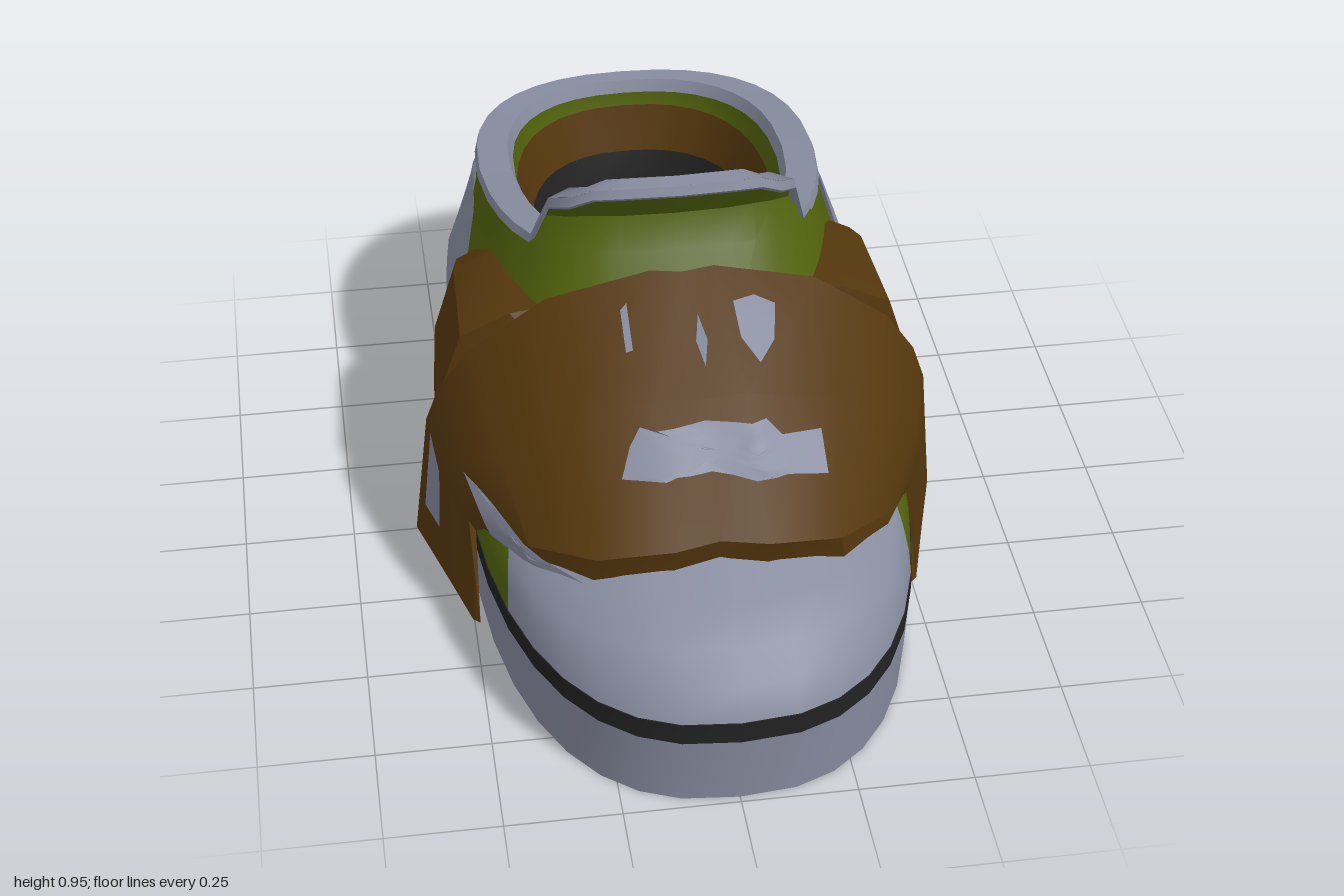
import * as THREE from 'three';
import { toCreasedNormals } from 'three/addons/utils/BufferGeometryUtils.js';

const mat = (name, color) => {
  const m = new THREE.MeshStandardMaterial({ color, side: THREE.DoubleSide });
  m.name = name;
  return m;
};
const V = (x, y, z) => new THREE.Vector3(x, y, z);
const { lerp, smoothstep: step } = THREE.MathUtils;
const N = 36; // columns around the shoe

// Skin between rows of points; pick(i, j) chooses the material of each quad.
function loft(name, rows, mats, closed, pick = () => 0) {
  const n = rows[0].length, cols = closed ? n : n - 1;
  const lists = mats.map(() => []);
  for (let i = 0; i < rows.length - 1; i++) {
    for (let j = 0; j < cols; j++) {
      const k = (j + 1) % n;
      const a = i * n + j, b = i * n + k, c = a - j + n + k, d = a + n;
      lists[pick(i, j)].push(a, b, c, a, c, d);
    }
  }
  const g = new THREE.BufferGeometry().setFromPoints(rows.flat());
  g.setIndex(lists.flat());
  let start = 0;
  lists.forEach((l, i) => { g.addGroup(start, l.length, i); start += l.length; });
  const mesh = new THREE.Mesh(toCreasedNormals(g, 0.65), mats.length > 1 ? mats : mats[0]);
  mesh.name = name;
  return mesh;
}

// Thin plate: an outline in (u, y) projected along a horizontal axis onto a mesh.
function decal(name, outline, place, dir, target, material, lift, bulge = 0) {
  const ray = new THREE.Raycaster();
  const cu = outline.reduce((s, p) => s + p[0], 0) / outline.length;
  const cy = outline.reduce((s, p) => s + p[1], 0) / outline.length;
  const dense = outline.flatMap(([u, y], i) => {
    const [u2, y2] = outline[(i + 1) % outline.length];
    return [0, 0.25, 0.5, 0.75].map((k) => [lerp(u, u2, k), lerp(y, y2, k)]);
  });
  let far = 1;
  const project = (u, y, rise) => {
    const o = place(u, y);
    ray.set(o, dir);
    const hit = ray.intersectObject(target)[0];
    if (hit) far = hit.distance;
    return o.addScaledVector(dir, far - rise);
  };
  const rows = [1, 0.8, 0.6, 0.4, 0.2, 0.001].map((k) => dense.map(([u, y]) =>
    project(cu + (u - cu) * k, cy + (y - cy) * k, lift + bulge * (1 - k))));
  return loft(name, rows, [material], true);
}

const around = (f) => Array.from({ length: N }, (_, j) => f((j / N) * Math.PI * 2));
const pw = (v, e) => Math.sign(v) * Math.abs(v) ** e;

// Footprint outline
const foot = (t, y, s = 1) => V(0.495 * s * pw(Math.sin(t), 0.79), y, s * pw(Math.cos(t), 0.79));
// Collar outline, tapering forward and raised into a forward-curling tongue in front.
const collar = (t, sx = 1, sz = 1, drop = 0, lift = 1) => {
  const c = Math.cos(t), front = Math.max(0, c);
  const r = step(c, 0.64, 0.8) * lift;
  const z = 0.46 * pw(c, 0.75);
  const x = 0.39 * (1 - 0.13 * front) * pw(Math.sin(t), c > 0 ? 0.58 : 0.85);
  return V(x * sx, 0.71 + z * 0.09 + r * (0.15 + 0.05 * step(c, 0.8, 0.98)) - drop,
    -0.42 + z * sz + 0.2 * r * (r - 0.75));
};
const inner = (sx, sz, y) => around((t) => { const p = collar(t, sx, sz, 0, 0); p.y = y; return p; });

// Half arch given from the centre outward, mirrored to a full row.
const arch = (half) => [
  ...half.slice(1).reverse().map(([x, y, z]) => V(-x, y, z)),
  ...half.map(([x, y, z]) => V(x, y, z)),
];

export function createModel() {
  const grey = mat('grey', 0x878c9f);
  const brown = mat('brown', 0x55370d);
  const green = mat('green', 0x51610c);
  const black = mat('black', 0x222222);
  const shoe = new THREE.Group();
  shoe.name = 'shoe';

  // Sole with closed underside, and the dark welt above it
  const sole = loft('sole', [
    around((t) => foot(t, 0, 0.001)), around((t) => foot(t, 0, 0.985)),
    around((t) => foot(t, 0.17)),
  ], [grey], true);
  const welt = loft('welt', [
    around((t) => foot(t, 0.17, 1.001)), around((t) => foot(t, 0.22, 1.001)),
    around((t) => foot(t, 0.222, 0.97)),
  ], [black], true);

  // Upper: [inward, upward] fractions, blended from the domed toe to the side profile
  const toeProfile = [[0, 0], [0.03, 0.13], [0.1, 0.225], [0.2, 0.3], [0.32, 0.36], [0.6, 0.57], [0.85, 0.8], [1, 1]];
  const sideProfile = [[0, 0], [0.02, 0.16], [0.05, 0.26], [0.1, 0.34], [0.3, 0.48], [0.65, 0.66], [0.9, 0.83], [1, 1]];
  const upperRows = toeProfile.map(([tf, tg], i) => around((t) => {
    const w = Math.max(0, Math.cos(t)) ** 0.6;
    const f = lerp(sideProfile[i][0], tf, w);
    const g0 = lerp(sideProfile[i][1], tg, w);
    const g = g0 * (1 - 0.8 * w * Math.sin(t) ** 2 * (1 - g0));
    const a = foot(t, 0.22, 0.998), b = collar(t, 1, 1, 0, 0);
    return V(lerp(a.x, b.x, f), lerp(a.y, b.y, g), lerp(a.z, b.z, f));
  }));
  upperRows.push(around((t) => collar(t, 1, 1, 0, 0.4)), around((t) => collar(t)));
  const upper = loft('upper', upperRows, [green, grey], true,
    (i, j) => (i < 5 && (j < 6 || j >= N - 6) ? 1 : 0));

  // Collar rim running up over the tongue, wider along the sides
  const rim = loft('collarRim', [[1, 1, 0.03], [1.02, 1.02, 0.02], [1.005, 1.005, 0], [0.82, 0.91, 0], [0.79, 0.89, 0.03]]
    .map(([sx, sz, d]) => around((t) => collar(t, sx, sz, d))), [grey], true);

  // Lining: green, then a brown band, then the dark foot bed
  const lining = loft('lining', [
    around((t) => collar(t, 0.8, 0.9, 0.025)), around((t) => collar(t, 0.8, 0.9, 0.025, 0.4)),
    inner(0.77, 0.9, 0.6), inner(0.68, 0.79, 0.5),
    inner(0.66, 0.77, 0.3), inner(0.001, 0.001, 0.3),
  ], [green, brown, black], true, (i) => [0, 0, 1, 2, 2][i]);

  // Large front strap: lip, nose, middle, crest, rear edge
  const crest = [[0, 0.755, 0.13], [0.07, 0.772, 0.14], [0.3, 0.705, 0.12], [0.47, 0.57, 0.1],
    [0.54, 0.46, 0.08], [0.57, 0.37, 0.07], [0.605, 0.03, 0.03]];
  const frontStrap = loft('frontStrap', [
    [[0, 0.4, 0.69], [0.1, 0.4, 0.71], [0.27, 0.355, 0.68], [0.39, 0.33, 0.55],
      [0.47, 0.29, 0.38], [0.485, 0.23, 0.31], [0.49, 0.03, 0.39]],
    [[0, 0.46, 0.7], [0.1, 0.465, 0.73], [0.26, 0.43, 0.69], [0.39, 0.37, 0.55],
      [0.48, 0.33, 0.37], [0.5, 0.26, 0.31], [0.505, 0.03, 0.375]],
    [[0, 0.62, 0.42], [0.1, 0.63, 0.42], [0.28, 0.58, 0.4], [0.435, 0.46, 0.34],
      [0.515, 0.38, 0.26], [0.535, 0.3, 0.22], [0.555, 0.03, 0.2]],
    crest,
    crest.map(([x, y, z]) => [x * 0.94, Math.max(0.03, y - 0.035), z - 0.045]),
    crest.map(([x, y, z]) => [x * 0.85, Math.max(0.03, y - 0.09), z - 0.03]),
  ].map(arch), [brown], false);

  // Rear strap behind it, passing under the collar
  const rear = [[0, 0.61], [0.2, 0.615], [0.37, 0.635], [0.48, 0.58], [0.53, 0.42], [0.54, 0.25], [0.535, 0.04]];
  const rearRow = (s, drop, z, top, lean) => arch(rear.map(([x, y], i) =>
    [x * s, Math.max(0.04, y - drop), i < 2 ? top : z + lean * y]));
  const rearStrap = loft('rearStrap', [
    rearRow(0.92, 0.04, 0, 0.01, 0.12), rearRow(1.01, 0, 0, 0, 0.1),
    rearRow(0.99, 0.01, -0.24, -0.15, 0.03), rearRow(0.965, 0.035, -0.3, -0.17, 0),
    rearRow(0.87, 0.07, -0.305, -0.17, 0),
  ], [brown], false);

  shoe.add(sole, welt, upper, rim, lining, frontStrap, rearStrap);

  // Domed ankle pads and brown sole patches, the patch on the right being a sliver
  const disc = Array.from({ length: 14 }, (_, i) => {
    const a = (i / 14) * Math.PI * 2;
    return [-0.505 + 0.2 * Math.cos(a), 0.465 + 0.19 * Math.sin(a)];
  });
  const patch = [[-0.43, 0.15], [-0.53, 0.155], [-0.635, 0.135], [-0.635, 0.04], [-0.53, 0.035], [-0.44, 0.04]];
  const sliver = patch.map(([z, y]) => [z, 0.11 + (y - 0.04) * 0.4]);
  for (const [s, outline] of [[1, patch], [-1, sliver]]) {
    const place = (z, y) => V(s * 3, y, z), dir = V(-s, 0, 0);
    shoe.add(decal('anklePad', disc, place, dir, upper, grey, 0.01, 0.025));
    shoe.add(decal('solePatch', outline, place, dir, sole, brown, 0.006));
  }
  shoe.add(decal('heelMark', [[-0.015, 0.05], [0, 0.11], [0.015, 0.05]],
    (x, y) => V(x, y, -3), V(0, 0, 1), sole, brown, 0.005));

  // Raised grey marks on the front strap
  const marks = [
    ['wideMark', [[-0.19, 0.54], [-0.165, 0.58], [-0.14, 0.605], [0, 0.608], [0.13, 0.605], [0.16, 0.58],
      [0.25, 0.565], [0.25, 0.515], [0.18, 0.535], [0, 0.55], [-0.1, 0.555]], 0.035],
    ['slimMark', [[-0.145, 0.72], [-0.13, 0.73], [-0.13, 0.68], [-0.145, 0.675]], 0.009],
    ['middleMark', [[0.02, 0.715], [0.032, 0.69], [0.02, 0.66], [0.008, 0.685]], 0.009],
    ['sideMark', [[0.1, 0.73], [0.15, 0.725], [0.195, 0.705], [0.18, 0.67], [0.14, 0.655], [0.105, 0.69]], 0.012],
    ['lowerPatch', [[-0.505, 0.385], [-0.4, 0.372], [-0.26, 0.362], [-0.38, 0.34], [-0.46, 0.305]], 0.02],
    ['edgePatch', [[-0.565, 0.365], [-0.553, 0.3], [-0.56, 0.15], [-0.585, 0.15]], 0.03],
  ];
  for (const [name, outline, lift] of marks) {
    shoe.add(decal(name, outline, (x, y) => V(x, y, 3), V(0, 0, -1), frontStrap, grey, lift));
  }
  return shoe;
}
